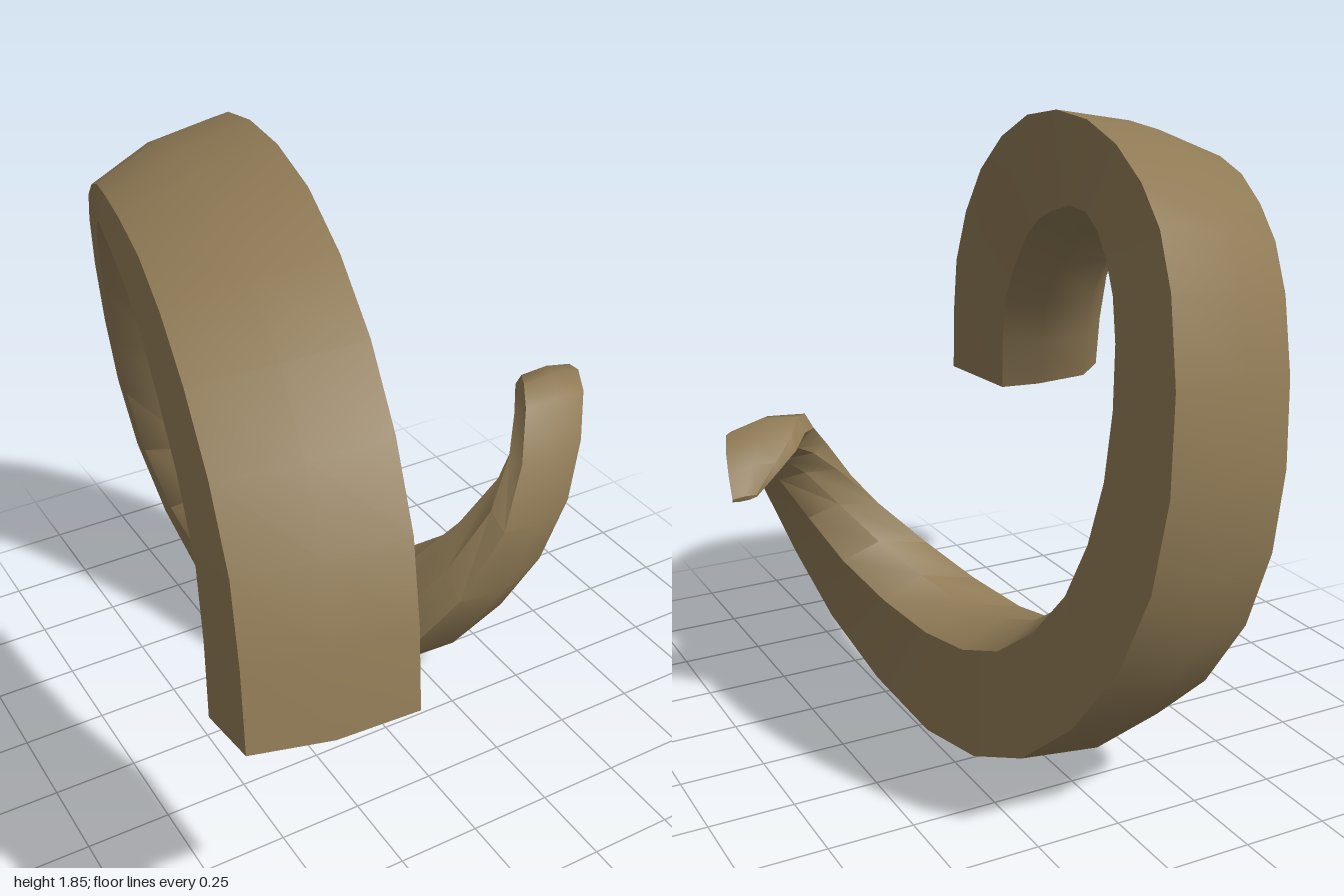
import * as THREE from 'three';
import { toCreasedNormals } from 'three/addons/utils/BufferGeometryUtils.js';

// Stations along the horn: outer z, outer y, inner z, inner y, +x side, -x side
const STATIONS = [
  [1.0, 0.81, 0.62, 0.825, -0.37, -0.83],
  [0.87, 1.23, 0.49, 1.14, -0.32, -0.78],
  [0.55, 1.59, 0.2, 1.4, -0.25, -0.72],
  [0.12, 1.81, -0.06, 1.485, -0.18, -0.65],
  [-0.3, 1.845, -0.28, 1.515, -0.13, -0.59],
  [-0.65, 1.73, -0.43, 1.44, -0.08, -0.52],
  [-0.87, 1.5, -0.55, 1.27, -0.03, -0.46],
  [-1.0, 1.03, -0.62, 0.96, 0.04, -0.39],
  [-0.91, 0.54, -0.56, 0.66, 0.11, -0.34],
  [-0.58, 0.13, -0.37, 0.46, 0.2, -0.27],
  [-0.13, -0.005, -0.1, 0.425, 0.28, -0.17],
  [0.26, 0.25, 0.13, 0.57, 0.43, 0.04],
  [0.36, 0.68, 0.2, 0.8, 0.59, 0.33],
  [0.2, 0.99, 0.09, 0.905, 0.74, 0.5],
  [0.02, 0.99, -0.02, 0.895, 0.81, 0.61],
  [-0.09, 0.87, -0.085, 0.855, 0.83, 0.76],
];

// Seven-sided cross-section: position across from +x to -x,
// then depth at five even steps from base to tip
const SECTION = [
  [0, [0, 0, 0, 0.2, 0.3]],
  [0.5, [0.03, 0.13, 0.03, 0, 0]],
  [0.96, [0.18, 0.4, 0.2, 0.05, 0.1]],
  [1, [0.6, 0.7, 0.5, 0.42, 0.5]],
  [0.72, [0.94, 0.92, 0.9, 0.88, 0.9]],
  [0.3, [1, 1, 1, 1, 1]],
  [0.02, [0.94, 0.75, 0.84, 0.85, 0.85]],
];

const SEGMENTS = 30;

function curve(a, b) {
  return new THREE.CatmullRomCurve3(
    STATIONS.map((s) => new THREE.Vector3(0, s[b], s[a])), false, 'catmullrom', 0.5);
}

function depthAt(depths, t) {
  const f = t * (depths.length - 1);
  const i = Math.min(Math.floor(f), depths.length - 2);
  return THREE.MathUtils.lerp(depths[i], depths[i + 1], f - i);
}

function hornGeometry() {
  const outer = curve(0, 1);
  const inner = curve(2, 3);
  const sides = curve(4, 5); // z holds the +x side, y the -x side
  const n = SECTION.length;
  const positions = [];
  const index = [];

  // Rings, with the section changing towards the tip
  for (let i = 0; i <= SEGMENTS; i++) {
    const t = i / SEGMENTS;
    const o = outer.getPoint(t);
    const p = inner.getPoint(t);
    const x = sides.getPoint(t);
    for (const [across, depths] of SECTION) {
      const v = o.clone().lerp(p, depthAt(depths, t));
      positions.push(THREE.MathUtils.lerp(x.z, x.y, across), v.y, v.z);
    }
  }

  // Skin between rings
  for (let i = 0; i < SEGMENTS; i++) {
    for (let j = 0; j < n; j++) {
      const k = (j + 1) % n;
      const a = i * n + j, b = i * n + k;
      const c = a + n, d = b + n;
      index.push(a, c, d, a, d, b);
    }
  }

  // Flat base and tiny tip caps
  const last = SEGMENTS * n;
  for (let j = 1; j < n - 1; j++) {
    index.push(0, j, j + 1);
    index.push(last, last + j + 1, last + j);
  }

  const geometry = new THREE.BufferGeometry();
  geometry.setAttribute('position', new THREE.Float32BufferAttribute(positions, 3));
  geometry.setIndex(index);
  return toCreasedNormals(geometry, 0.85);
}

export function createModel() {
  const group = new THREE.Group();
  group.name = 'curledHorn';
  const hornBrown = new THREE.MeshStandardMaterial({ color: 0x8f7a55 });
  hornBrown.name = 'hornBrown';
  const horn = new THREE.Mesh(hornGeometry(), hornBrown);
  horn.name = 'horn';
  group.add(horn);
  return group;
}
